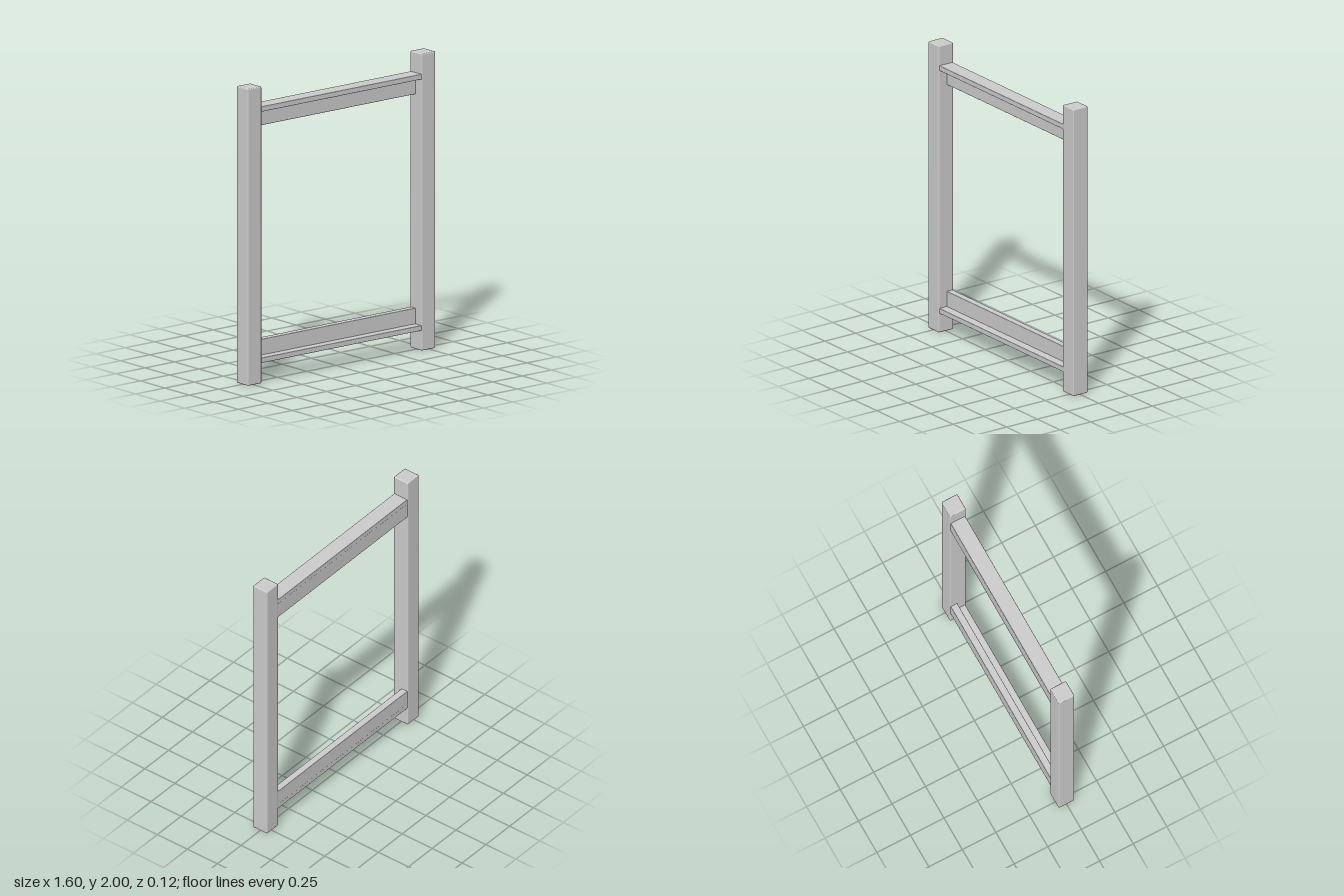
import * as THREE from 'three';
import { RoundedBoxGeometry } from 'three/addons/geometries/RoundedBoxGeometry.js';

const material = new THREE.MeshStandardMaterial({ color: 0xcccccc });

// Softly bevelled box given by its lower and upper bounds
function beam(name, [x0, y0, z0], [x1, y1, z1], radius) {
  const geometry = new RoundedBoxGeometry(x1 - x0, y1 - y0, z1 - z0, 2, radius);
  const mesh = new THREE.Mesh(geometry, material);
  mesh.name = name;
  mesh.position.set((x0 + x1) / 2, (y0 + y1) / 2, (z0 + z1) / 2);
  return mesh;
}

// L-shaped rail: a full-depth ledge with a thinner board flush at the back
function rail(name, ledge, board) {
  const group = new THREE.Group();
  group.name = name;
  const end = 0.69, depth = 0.054;
  group.add(
    beam(name + 'Ledge', [-end, ledge[0], -depth], [end, ledge[1], depth], 0.003),
    beam(name + 'Board', [-end, board[0], -depth], [end, board[1], -0.006], 0.003)
  );
  return group;
}

export function createModel() {
  const model = new THREE.Group();
  model.name = 'frame';

  // Upright posts
  for (const [name, side] of [['leftPost', 1], ['rightPost', -1]]) {
    const post = beam(name, [-0.059, 0, -0.059], [0.059, 2, 0.059], 0.008);
    post.position.x = side * 0.741;
    model.add(post);
  }

  // Rails, ledges facing outward from the opening
  model.add(rail('topRail', [1.828, 1.863], [1.718, 1.83]));
  model.add(rail('bottomRail', [0.135, 0.17], [0.168, 0.276]));
  return model;
}
